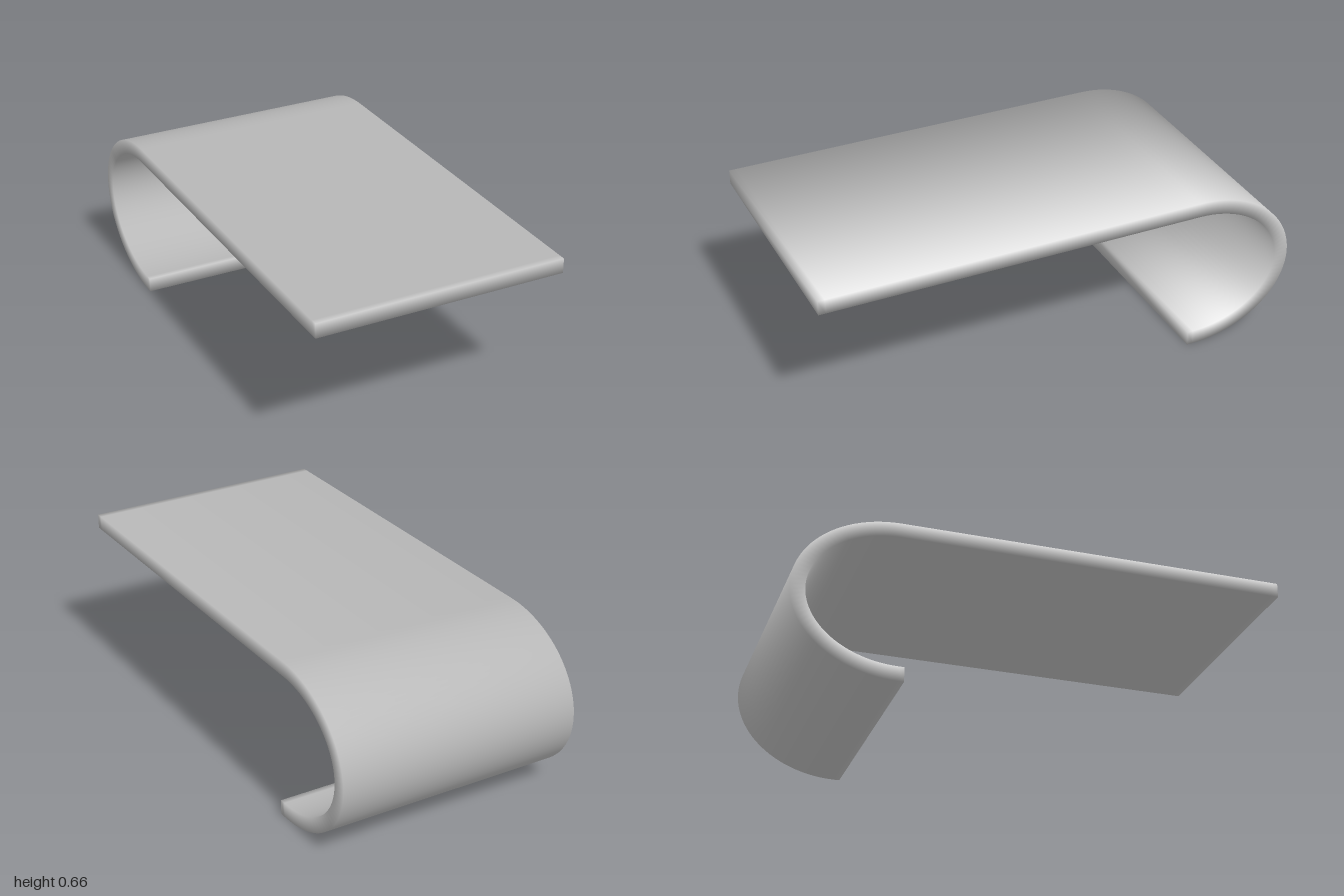
import * as THREE from 'three';

const HALF_WIDTH = 0.513;
const HALF_THICK = 0.03;

// Centre line of the sheet in the y/z plane: flat top, half ellipse, short lower lip
function centreLine() {
  const bendZ = -0.58, midY = 0.3315, a = 0.39, b = 0.3015;
  const pts = [];
  for (let i = 0; i < 56; i++) {
    pts.push(new THREE.Vector3(0, midY + b, THREE.MathUtils.lerp(1, bendZ, i / 56)));
  }
  for (let i = 0; i <= 48; i++) {
    const t = (Math.PI * i) / 48;
    pts.push(new THREE.Vector3(0, midY + b * Math.cos(t), bendZ - a * Math.sin(t)));
  }
  pts.push(new THREE.Vector3(0, midY - b, -0.555));
  return pts;
}

// Sweep a rectangle along the line; corners share softened normals
function sweepSheet(pts) {
  const corners = [[1, 1], [-1, 1], [-1, -1], [1, -1]];
  const pos = [], nor = [], idx = [];
  const last = pts.length - 1;
  pts.forEach((p, i) => {
    const tan = pts[Math.min(i + 1, last)].clone().sub(pts[Math.max(i - 1, 0)]).normalize();
    const out = new THREE.Vector3(0, -tan.z, tan.y);
    for (const [sx, sn] of corners) {
      const v = p.clone().addScaledVector(out, sn * HALF_THICK);
      pos.push(sx * HALF_WIDTH, v.y, v.z);
      const n = out.clone().multiplyScalar(sn);
      n.x = sx;
      if (i === 0) n.sub(tan);
      if (i === last) n.add(tan);
      n.normalize();
      nor.push(n.x, n.y, n.z);
    }
    if (i === last) return;
    for (let k = 0; k < 4; k++) {
      const a = i * 4 + k, b = i * 4 + ((k + 1) % 4);
      idx.push(a, a + 4, b, b, a + 4, b + 4);
    }
  });
  // End faces
  const e = last * 4;
  idx.push(0, 1, 2, 0, 2, 3, e, e + 2, e + 1, e, e + 3, e + 2);

  const geo = new THREE.BufferGeometry();
  geo.setAttribute('position', new THREE.Float32BufferAttribute(pos, 3));
  geo.setAttribute('normal', new THREE.Float32BufferAttribute(nor, 3));
  geo.setIndex(idx);
  return geo;
}

export function createModel() {
  const group = new THREE.Group();
  group.name = 'curvedBench';
  const material = new THREE.MeshStandardMaterial({ color: 0xcccccc });
  const sheet = new THREE.Mesh(sweepSheet(centreLine()), material);
  sheet.name = 'bentSheet';
  group.add(sheet);
  return group;
}
